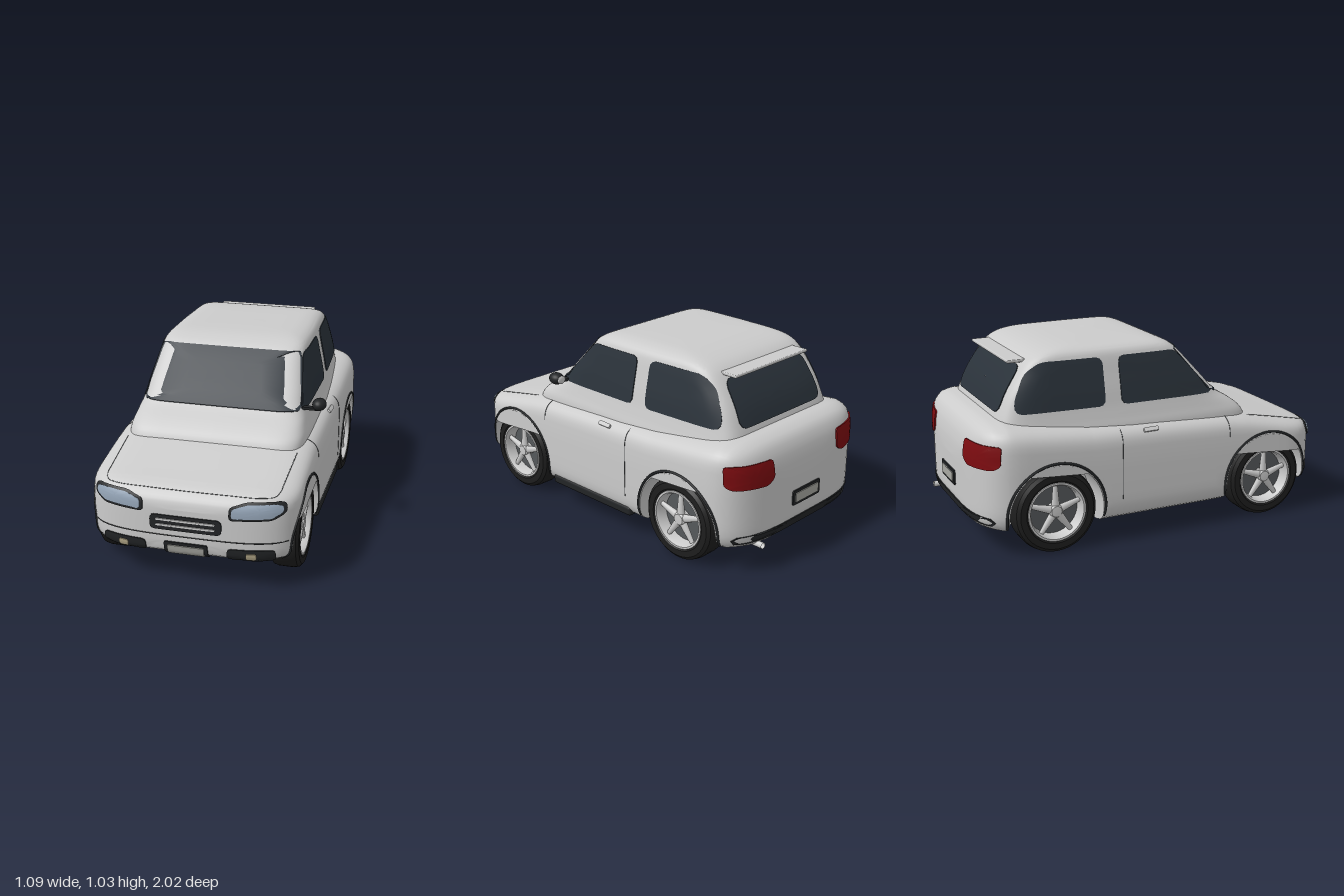
import * as THREE from 'three';
import { toCreasedNormals } from 'three/addons/utils/BufferGeometryUtils.js';
import { RoundedBoxGeometry } from 'three/addons/geometries/RoundedBoxGeometry.js';

const mat = (color) => new THREE.MeshStandardMaterial({ color, side: THREE.DoubleSide });
const paint = mat(0xcccccc), glass = mat(0x2a323a), black = mat(0x222426), rubber = mat(0x1e1e1e);
const lens = mat(0x93a3b5), red = mat(0x7d0c10), beige = mat(0xb8ac8c), plateMat = mat(0xa8a8a2), seamMat = mat(0x55585a);

function mesh(name, geometry, material) {
  const m = new THREE.Mesh(geometry, material);
  m.name = name;
  return m;
}

// Linear lookup in a table of [key, value] with rising keys
function lookup(table, k) {
  let i = 1;
  while (i < table.length - 1 && table[i][0] < k) i++;
  const [a, b] = [table[i - 1], table[i]];
  return THREE.MathUtils.lerp(a[1], b[1], THREE.MathUtils.clamp((k - a[0]) / (b[0] - a[0]), 0, 1));
}

// Skin over closed rings of equal length
function loft(rings, crease) {
  const n = rings[0].length, index = [];
  for (let i = 0; i < rings.length - 1; i++) {
    for (let j = 0; j < n; j++) {
      const a = i * n + j, b = i * n + (j + 1) % n;
      index.push(a, a + n, b, b, a + n, b + n);
    }
  }
  const g = new THREE.BufferGeometry();
  g.setAttribute('position', new THREE.Float32BufferAttribute(rings.flat(2), 3));
  g.setIndex(index);
  return toCreasedNormals(g, crease);
}

// ---- Lower body: sections along z, opened up over the wheels
const WHEEL_Z = [0.63, -0.6], WHEEL_Y = 0.222, ARCH = 0.25;
const TOP = [[-1, 0.45], [-0.995, 0.53], [-0.98, 0.6], [-0.95, 0.655], [-0.9, 0.683], [-0.83, 0.69], [-0.7, 0.675],
  [-0.4, 0.645], [0, 0.63], [0.4, 0.61], [0.5, 0.595], [0.6, 0.575], [0.8, 0.532], [0.88, 0.517], [0.93, 0.503],
  [0.97, 0.475], [0.99, 0.45], [1, 0.41]];
const BOTTOM = [[-1, 0.24], [-0.99, 0.18], [-0.96, 0.15], [-0.88, 0.13], [-0.35, 0.11], [0.35, 0.11], [0.88, 0.15],
  [0.96, 0.165], [0.99, 0.19], [1, 0.24]];

function bodySection(z) {
  const t = Math.max(0, (Math.abs(z) - 0.7) / 0.3);
  const hw = 0.535 * Math.pow(Math.max(0, 1 - t ** 3.5), 1 / 3.5);
  const top = lookup(TOP, z), bottom = lookup(BOTTOM, z), mid = THREE.MathUtils.lerp(bottom, top, 0.55);
  let low = bottom + 0.02 * (mid - bottom);
  for (const wz of WHEEL_Z) {
    const d = Math.abs(z - wz);
    if (d <= ARCH + 1e-6) low = WHEEL_Y + Math.sqrt(Math.max(0, ARCH * ARCH - d * d));
  }
  const half = [];
  for (let i = 0; i <= 14; i++) {
    const a = (i / 14) * Math.PI / 2;
    half.push([hw * Math.sin(a) ** (1 / 3), mid + (top - mid) * Math.max(0, Math.cos(a)) ** (1 / 3), z]);
  }
  for (let i = 1; i <= 10; i++) {
    const y = mid - (mid - low) * Math.sin((i / 10) * Math.PI / 2);
    const s = Math.max(0, (mid - y) / (mid - bottom));
    half.push([hw * Math.pow(1 - s ** 8, 1 / 8), y, z]);
  }
  const inner = Math.min(0.36, hw * 0.65);
  half.push([inner, low, z], [inner, bottom, z], [0, bottom, z]);
  return [...half, ...half.slice(1, -1).reverse().map(([x, y, w]) => [-x, y, w])];
}

function bodyGeometry() {
  const zs = [];
  for (let k = 0; k <= 16; k++) zs.push(1 - 0.3 * (k / 16) ** 3, -1 + 0.3 * (k / 16) ** 3);
  for (let k = -6; k <= 6; k++) zs.push(k * 0.1 + 0.003);
  for (const wz of WHEEL_Z) {
    for (let k = 0; k <= 22; k++) zs.push(wz + ARCH * Math.cos((k / 22) * Math.PI));
    zs.push(wz - ARCH - 0.0005, wz + ARCH + 0.0005);
  }
  zs.sort((a, b) => a - b);
  return loft(zs.map(bodySection), 0.7);
}

// ---- Cabin: rounded outlines stacked in y, rows of [y, half width, front z, back z]
const CABIN = [[0.55, 0.476, 0.57, -0.87], [0.61, 0.473, 0.54, -0.865], [0.66, 0.46, 0.48, -0.85],
  [0.72, 0.446, 0.385, -0.83], [0.8, 0.432, 0.312, -0.795], [0.88, 0.415, 0.24, -0.745], [0.95, 0.4, 0.176, -0.69],
  [0.985, 0.387, 0.138, -0.645], [1.006, 0.365, 0.1, -0.59], [1.02, 0.325, 0.05, -0.51], [1.027, 0.25, -0.03, -0.4],
  [1.03, 0, -0.2, -0.2]];

function cabinGeometry() {
  const curve = (k) => new THREE.CatmullRomCurve3(CABIN.map((r) => new THREE.Vector3(r[1], r[0], r[k])), false, 'catmullrom');
  const front = curve(2), back = curve(3), rings = [];
  const power = (v) => Math.sign(v) * Math.abs(v) ** (2 / 10);
  for (let i = 0; i <= 44; i++) {
    const f = front.getPoint(i / 44), b = back.getPoint(i / 44), ring = [];
    for (let j = 0; j < 72; j++) {
      const a = (j / 72) * Math.PI * 2;
      const z = (f.z + b.z) / 2 + power(Math.sin(a)) * (f.z - b.z) / 2;
      ring.push([f.x * power(Math.cos(a)) * (1 + 0.12 * Math.min(0, z + 0.2)), f.y, z]);
    }
    rings.push(ring);
  }
  return loft(rings, 0.9);
}

// ---- Projection of flat outlines onto a surface
const RAYS = {
  front: (u, v) => [[u, v, 2], [0, 0, -1]],
  back: (u, v) => [[u, v, -2], [0, 0, 1]],
  side: (u, v) => [[2, v, u], [-1, 0, 0]],
  top: (u, v) => [[u, 2, v], [0, -1, 0]],
};
const caster = new THREE.Raycaster();
let lastHit = new THREE.Vector3();
function project(target, view, u, v, lift) {
  const [o, d] = RAYS[view](u, v), dir = new THREE.Vector3(...d);
  caster.set(new THREE.Vector3(...o), dir);
  const h = caster.intersectObject(target)[0];
  if (!h) return lastHit.clone();
  const n = h.face.normal.clone();
  if (n.dot(dir) > 0) n.negate();
  lastHit = h.point.clone().addScaledVector(n, lift);
  return lastHit.clone();
}

// Panel with rounded corners that follows the surface, its rim sunk in
function patch(name, target, view, corners, radius, lift, material) {
  const pts = corners.map((c) => new THREE.Vector2(...c)), n = pts.length, shape = new THREE.Shape();
  pts.forEach((p, i) => {
    const to = (q) => p.clone().add(q.clone().sub(p).setLength(Math.min(radius, p.distanceTo(q) * 0.45)));
    const a = to(pts[(i + n - 1) % n]), b = to(pts[(i + 1) % n]);
    if (i) shape.lineTo(a.x, a.y); else shape.moveTo(a.x, a.y);
    shape.quadraticCurveTo(p.x, p.y, b.x, b.y);
  });
  shape.closePath();
  const outline = shape.getSpacedPoints(64).slice(0, 64);
  const c = pts.reduce((s, p) => s.add(p), new THREE.Vector2()).divideScalar(n);
  const steps = [[0.001, lift], [0.25, lift], [0.5, lift], [0.75, lift], [1, lift], [1.0, -0.008]];
  const rings = steps.map(([k, l]) => outline.map((p) =>
    project(target, view, c.x + (p.x - c.x) * k, c.y + (p.y - c.y) * k, l).toArray()));
  return mesh(name, loft(rings, 0.7), material);
}

// Thin line that follows the surface
function seam(name, target, view, points, radius, material) {
  const path = new THREE.CatmullRomCurve3(points.map(([u, v]) => project(target, view, u, v, 0)));
  return mesh(name, new THREE.TubeGeometry(path, 48, radius, 6), material);
}

const rect = (u0, u1, v0, v1) => [[u0, v0], [u1, v0], [u1, v1], [u0, v1]];
const line = (u0, v0, u1, v1, n = 14) => Array.from({ length: n + 1 }, (_, i) => [u0 + (u1 - u0) * i / n, v0 + (v1 - v0) * i / n]);

function wheel() {
  const g = new THREE.Group();
  g.name = 'wheel';
  const lathe = (name, profile, m) => g.add(mesh(name, toCreasedNormals(
    new THREE.LatheGeometry(profile.map((p) => new THREE.Vector2(...p)), 48).rotateZ(-Math.PI / 2), 0.6), m));
  lathe('tyre', [[0, -0.068], [0.1, -0.075], [0.195, -0.075], [0.214, -0.062], [0.22, -0.04], [0.22, 0.035],
    [0.214, 0.06], [0.197, 0.074], [0.165, 0.074], [0.154, 0.066]], rubber);
  lathe('rim', [[0.157, 0.064], [0.155, 0.072], [0.145, 0.072], [0.136, 0.055], [0.132, 0.01]], paint);
  lathe('brakeDisc', [[0.134, 0.01], [0, 0.01]], mat(0x55585b));
  lathe('hub', [[0.036, 0.015], [0.036, 0.055], [0.028, 0.064], [0, 0.066]], paint);
  for (let i = 0; i < 5; i++) {
    const spoke = mesh('spoke', new THREE.CylinderGeometry(0.012, 0.023, 0.125, 10).scale(0.8, 1, 1).translate(0, 0.083, 0), paint);
    spoke.position.x = 0.044;
    spoke.rotation.x = (i / 5) * Math.PI * 2;
    g.add(spoke);
  }
  return g;
}

export function createModel() {
  const car = new THREE.Group();
  car.name = 'car';
  const body = mesh('body', bodyGeometry(), paint), cabin = mesh('cabin', cabinGeometry(), paint);
  car.add(body, cabin);
  const pair = (m) => {
    const other = m.clone();
    other.scale.x = -1;
    car.add(m, other);
  };

  // Windows
  car.add(patch('windshield', cabin, 'front', [[-0.428, 0.72], [0.428, 0.72], [0.378, 0.973], [-0.378, 0.973]], 0.02, 0.005, glass));
  car.add(patch('rearWindow', cabin, 'back', [[-0.32, 0.715], [0.32, 0.715], [0.3, 0.94], [-0.3, 0.94]], 0.05, 0.005, glass));
  pair(patch('frontSideWindow', cabin, 'side', [[0.335, 0.72], [-0.207, 0.72], [-0.207, 0.965], [0.115, 0.965]], 0.035, 0.005, glass));
  pair(patch('rearSideWindow', cabin, 'side', [[-0.295, 0.72], [-0.765, 0.72], [-0.765, 0.78], [-0.7, 0.91], [-0.62, 0.965], [-0.295, 0.965]], 0.04, 0.005, glass));

  // Front end
  pair(patch('headlightFrame', body, 'front', [[0.215, 0.388], [0.42, 0.395], [0.48, 0.43], [0.478, 0.47], [0.45, 0.48], [0.3, 0.476], [0.215, 0.45]], 0.02, 0.007, black));
  pair(patch('headlightLens', body, 'front', [[0.228, 0.4], [0.415, 0.407], [0.466, 0.435], [0.462, 0.463], [0.44, 0.469], [0.305, 0.465], [0.228, 0.443]], 0.015, 0.012, lens));
  car.add(patch('grille', body, 'front', rect(-0.18, 0.18, 0.302, 0.38), 0.025, 0.006, black));
  for (const y of [0.328, 0.357]) car.add(patch('grilleBar', body, 'front', rect(-0.15, 0.15, y - 0.005, y + 0.005), 0.004, 0.011, paint));
  pair(patch('fogLightRecess', body, 'front', rect(0.205, 0.435, 0.172, 0.235), 0.025, 0.006, black));
  pair(patch('fogLight', body, 'front', rect(0.297, 0.347, 0.186, 0.217), 0.012, 0.011, beige));
  car.add(seam('bumperSeam', body, 'front', line(-0.49, 0.27, 0.49, 0.27, 24), 0.003, black));

  // Number plates, blank
  for (const [view, y] of [['front', 0.2], ['back', 0.335]]) {
    car.add(patch('plateFrame', body, view, rect(-0.11, 0.11, y - 0.04, y + 0.04), 0.008, 0.008, black));
    car.add(patch('plate', body, view, rect(-0.092, 0.092, y - 0.025, y + 0.025), 0.003, 0.013, plateMat));
  }

  // Rear end
  pair(patch('tailLight', body, 'back', [[0.3, 0.47], [0.48, 0.478], [0.505, 0.5], [0.505, 0.6], [0.26, 0.595], [0.255, 0.5]], 0.02, 0.008, red));
  car.add(patch('rearBumperStrip', body, 'back', rect(-0.475, 0.475, 0.183, 0.222), 0.018, 0.006, black));
  const exhaust = mesh('exhaust', new THREE.CylinderGeometry(0.016, 0.016, 0.14, 20, 1, true).rotateX(Math.PI / 2), paint);
  exhaust.position.set(0.33, 0.155, -0.93);
  const spoiler = mesh('spoiler', new RoundedBoxGeometry(0.57, 0.016, 0.14, 2, 0.005), paint);
  spoiler.position.set(0, 0.962, -0.69);
  car.add(exhaust, spoiler);

  // Sides
  pair(seam('doorFrontSeam', body, 'side', line(0.39, 0.49, 0.39, 0.6), 0.002, seamMat));
  pair(seam('doorRearSeam', body, 'side', line(-0.24, 0.24, -0.24, 0.62), 0.002, seamMat));
  pair(patch('doorHandle', body, 'side', rect(-0.115, -0.03, 0.577, 0.592), 0.006, 0.011, paint));
  const sill = mesh('sillGuard', new RoundedBoxGeometry(0.07, 0.055, 0.61, 3, 0.018), black);
  sill.position.set(0.497, 0.152, 0.035);
  pair(sill);
  pair(seam('hoodSeam', body, 'top', [...line(0.45, 0.54, 0.44, 0.86, 8), [0.42, 0.91], [0.36, 0.935], [0.2, 0.945], [0, 0.947]], 0.002, seamMat));

  // Wheels and arch trims
  for (const z of WHEEL_Z) {
    const arc = Array.from({ length: 33 }, (_, i) => {
      const a = -0.22 + (i / 32) * (Math.PI + 0.44);
      return [z + 0.262 * Math.cos(a), WHEEL_Y + 0.262 * Math.sin(a)];
    });
    pair(seam('archTrim', body, 'side', arc, 0.007, black));
    for (const s of [1, -1]) {
      const w = wheel();
      w.position.set(s * 0.45, WHEEL_Y + 0.002, z);
      w.rotation.y = s > 0 ? 0 : Math.PI;
      car.add(w);
    }
  }

  // Mirrors
  const housing = mesh('mirror', new THREE.SphereGeometry(1, 28, 18).scale(0.037, 0.032, 0.045), black);
  housing.position.set(0.513, 0.75, 0.3);
  const mirrorGlass = mesh('mirrorGlass', new THREE.SphereGeometry(1, 20, 12).scale(0.026, 0.022, 0.008), paint);
  mirrorGlass.position.set(0.513, 0.75, 0.26);
  const stalk = mesh('mirrorStalk', new THREE.BoxGeometry(0.09, 0.014, 0.03), black);
  stalk.position.set(0.465, 0.727, 0.305);
  [housing, mirrorGlass, stalk].forEach(pair);
  return car;
}
